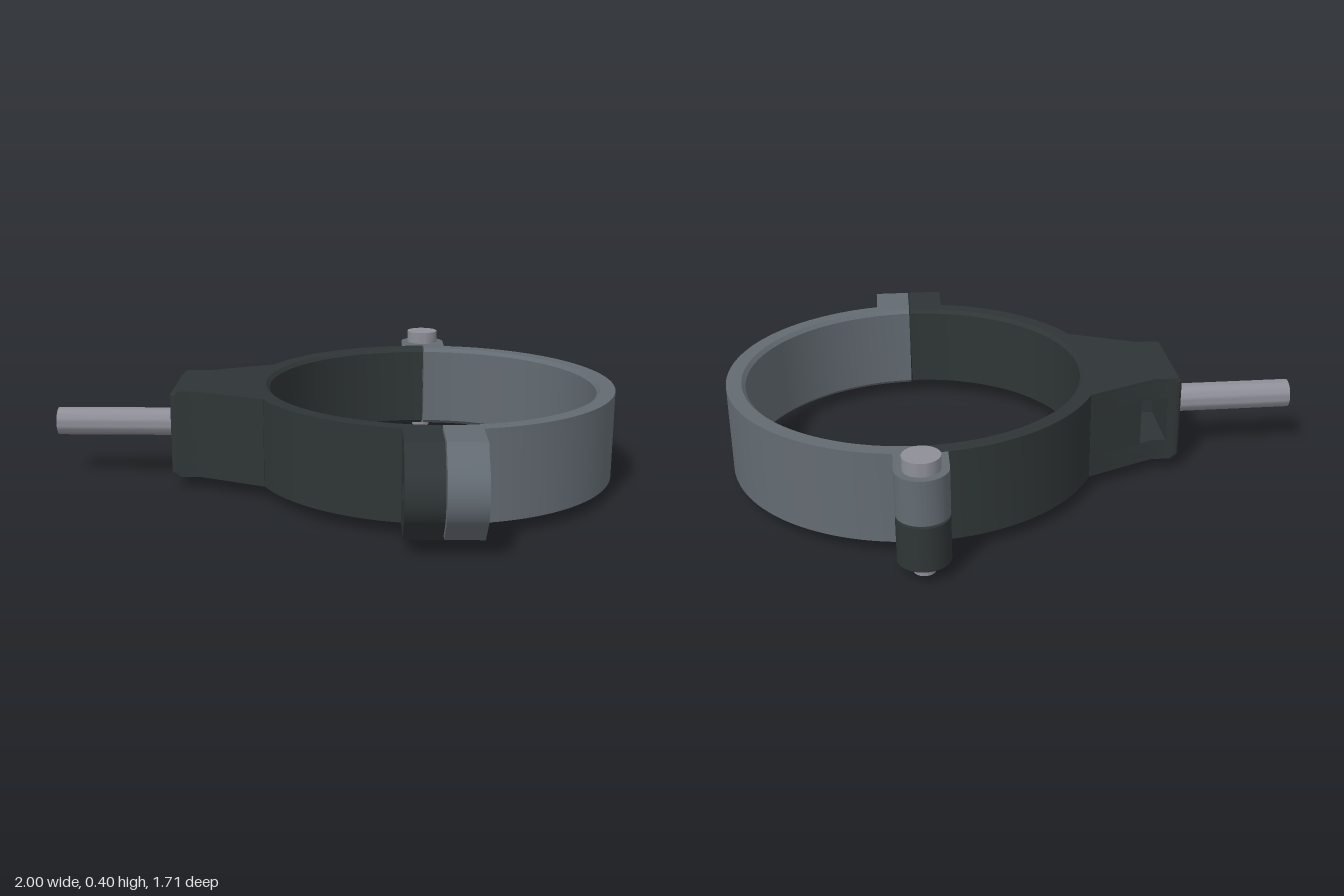
import * as THREE from 'three';
import { toCreasedNormals } from 'three/addons/utils/BufferGeometryUtils.js';

const DARK = 0x2f3536, GREY = 0x636b72, METAL = 0x8e8e98;
const Y0 = 0.045, Y1 = 0.355, MID = 0.2;   // band bottom, top and middle
const R_IN = 0.58, R_OUT = 0.645, GAP = 0.002;

function part(name, geometry, color, side = THREE.FrontSide) {
  const mesh = new THREE.Mesh(toCreasedNormals(geometry, 0.5),
    new THREE.MeshStandardMaterial({ color, side }));
  mesh.name = name;
  return mesh;
}

// Extrude a plan outline (x, -z) upward from y0 to y1
function slab(shape, y0, y1) {
  return new THREE.ExtrudeGeometry(shape, { depth: y1 - y0, bevelEnabled: false, curveSegments: 24 })
    .rotateX(-Math.PI / 2).translate(0, y0, 0);
}

// Half band with chamfered inner edges and closed ends
function halfBand(name, start, color) {
  const g = new THREE.Group();
  g.name = name;
  const c = 0.013;
  const profile = [[R_IN, Y0 + c], [R_IN + c, Y0], [R_OUT, Y0], [R_OUT, Y1], [R_IN + c, Y1], [R_IN, Y1 - c], [R_IN, Y0 + c]]
    .map(([r, y]) => new THREE.Vector2(r, y));
  const a = start + 0.004, len = Math.PI - 0.008;
  g.add(part('band', new THREE.LatheGeometry(profile, 64, a, len), color));
  for (const phi of [a, a + len]) {
    const cap = new THREE.ShapeGeometry(new THREE.Shape(profile)).rotateY(phi - Math.PI / 2);
    g.add(part('bandEnd', cap, color, THREE.DoubleSide));
  }
  return g;
}

// Clamp lug: side outline (z, y) with a rounded nose and bolt hole
function lug(xMin, xMax, color) {
  const cz = 0.765, r = 0.125, q = Math.PI / 4, zTop = 0.786;
  const s = new THREE.Shape();
  s.moveTo(0.605, Y0);
  s.lineTo(zTop, Y0);
  s.absarc(cz, MID, r, -q, q, false);
  s.lineTo(zTop, Y1);
  s.lineTo(0.605, Y1);
  s.closePath();
  const hole = new THREE.Path();
  hole.absarc(cz, MID, 0.04, 0, Math.PI * 2, true);
  s.holes.push(hole);
  const geo = new THREE.ExtrudeGeometry(s, { depth: xMax - xMin, bevelEnabled: false, curveSegments: 24 })
    .rotateY(-Math.PI / 2).translate(xMax, 0, 0);
  return part('clampLug', geo, color);
}

// Hinge knuckle with a web that meets the outside of the band
function knuckle(y0, y1, color) {
  const w = 0.085, zc = 0.74, a = Math.asin(w / R_OUT);
  const s = new THREE.Shape();
  s.moveTo(w, R_OUT * Math.cos(a));
  s.lineTo(w, zc);
  s.absarc(0, zc, w, 0, Math.PI, false);
  s.lineTo(-w, R_OUT * Math.cos(a));
  s.absarc(0, 0, R_OUT, Math.PI / 2 + a, Math.PI / 2 - a, true);
  return part('hingeKnuckle', slab(s, y0, y1), color);
}

// Plan outline of the mounting arm, optionally notched for the nut slot
function armOutline(slotted) {
  const s = new THREE.Shape();
  s.moveTo(-0.585, 0.275);
  if (slotted) {
    s.lineTo(-0.775, 0.19);
    s.lineTo(-0.775, -0.06);
    s.lineTo(-0.87, -0.06);
    s.lineTo(-0.87, 0.17);
  } else s.lineTo(-0.82, 0.17);
  s.lineTo(-0.9, 0.17);
  s.quadraticCurveTo(-0.92, 0.17, -0.92, 0.15);
  s.lineTo(-0.92, -0.15);
  s.quadraticCurveTo(-0.92, -0.17, -0.9, -0.17);
  s.lineTo(-0.82, -0.17);
  s.lineTo(-0.585, -0.275);
  s.absarc(0, 0, 0.62, Math.PI + 0.42, Math.PI - 0.42, true);
  return s;
}

// Thin arm layer whose outer face is drawn in at the free end
function edgeLayer(y0, y1, yEdge) {
  const geo = slab(armOutline(false), y0, y1);
  const p = geo.attributes.position;
  for (let i = 0; i < p.count; i++)
    if (p.getX(i) < -0.89 && Math.abs(p.getY(i) - yEdge) < 1e-4) p.setX(i, p.getX(i) + 0.015);
  geo.computeVertexNormals();
  return geo;
}

function rod(name, radius, from, to, alongX) {
  const geo = new THREE.CylinderGeometry(radius, radius, to - from, 40);
  geo.translate(0, (from + to) / 2, 0);
  if (alongX) geo.rotateZ(-Math.PI / 2);
  return part(name, geo, METAL);
}

export function createModel() {
  const model = new THREE.Group();
  model.name = 'hingedPipeClamp';
  const clamp = new THREE.Group();
  clamp.name = 'clamp';
  clamp.position.set(0.35, 0, -0.035);
  model.add(clamp);

  // Two halves, each with its lug and knuckle
  clamp.add(
    halfBand('outerHalf', 0, GREY), halfBand('mountHalf', Math.PI, DARK),
    lug(GAP, 0.128, GREY), lug(-0.125, -GAP, DARK),
    knuckle(MID + 0.004, Y1, GREY), knuckle(Y0, MID - 0.004, DARK));

  // Mounting arm in layers around the slot
  const arm = new THREE.Group();
  arm.name = 'mountingArm';
  const e = 0.015;
  arm.add(
    part('armLowerEdge', edgeLayer(Y0, Y0 + e, Y0), DARK),
    part('armBottom', slab(armOutline(false), Y0 + e, 0.12), DARK),
    part('armSlotLayer', slab(armOutline(true), 0.12, 0.28), DARK),
    part('armTop', slab(armOutline(false), 0.28, Y1 - e), DARK),
    part('armUpperEdge', edgeLayer(Y1 - e, Y1, Y1), DARK));
  clamp.add(arm);

  // Mounting rod and the flush bushing around it
  const stud = new THREE.Group();
  stud.name = 'mountingStud';
  stud.position.y = MID + 0.003;
  stud.add(rod('studRod', 0.05, -1.35, -0.88, true), rod('studBushing', 0.095, -0.922, -0.89, true));
  clamp.add(stud);

  // Hinge pin
  const pin = new THREE.Group();
  pin.name = 'hingePin';
  pin.position.z = -0.74;
  pin.add(rod('pinShaft', 0.035, 0, Y1 + 0.01, false), rod('pinHead', 0.06, Y1, 0.4, false));
  clamp.add(pin);

  return model;
}
